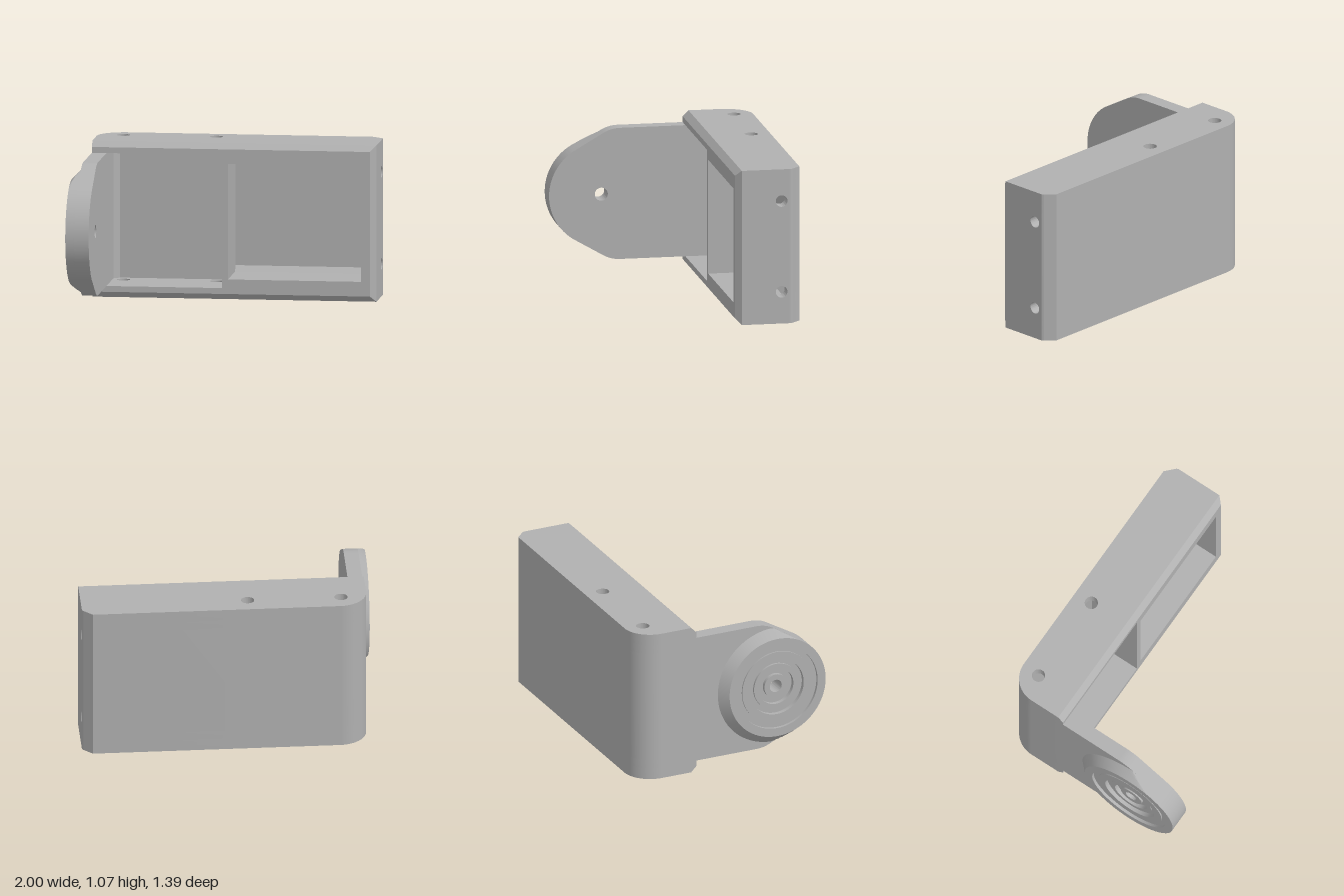
import * as THREE from 'three';
import { toCreasedNormals } from 'three/addons/utils/BufferGeometryUtils.js';

const grey = new THREE.MeshStandardMaterial({ color: 0xb0b0b0 });
grey.name = 'plain grey';

const L = -0.94, BACK = -0.69, FRONT = -0.24, FLOOR = -0.65, BEVEL = 0.04;
const AXIS_Z = 0.34, AXIS_Y = 0.535, ARM_R = 0.36, TAPER = Math.PI / 3;

export function createModel() {
  const group = new THREE.Group();

  const add = (name, geometry) => {
    const mesh = new THREE.Mesh(toCreasedNormals(geometry, 0.4), grey);
    mesh.name = name;
    group.add(mesh);
  };
  const hole = (shape, x, y, r) => {
    const path = new THREE.Path();
    path.absarc(x, y, r, 0, Math.PI * 2, true);
    shape.holes.push(path);
  };
  // extrude a plan drawn in (x, -z) upward from y0 to y1
  const extrudeUp = (shape, y0, y1, steps = 1) =>
    new THREE.ExtrudeGeometry(shape, { depth: y1 - y0, steps, bevelEnabled: false, curveSegments: 24 })
      .rotateX(-Math.PI / 2).translate(0, y0, 0);
  // extrude a side drawing in (z, y) from x toward -x
  const extrudeSide = (shape, x, depth) =>
    new THREE.ExtrudeGeometry(shape, { depth, bevelEnabled: false, curveSegments: 40 })
      .rotateY(-Math.PI / 2).translate(x, 0, 0);

  const backRightCorner = (s) => {
    s.lineTo(1, 0.61);
    s.quadraticCurveTo(1, 0.625, 0.985, 0.637);
    s.lineTo(0.93, -BACK);
  };
  // housing plan: optional left pocket, optional right pocket (its end wall is separate)
  const plan = (leftPocket, rightPocket) => {
    const s = new THREE.Shape();
    s.moveTo(L, -FRONT);
    if (leftPocket) {
      [[-0.84, -FRONT], [-0.84, -FLOOR - BEVEL], [-0.8, -FLOOR], [-0.09, -FLOOR],
        [-0.05, -FLOOR - BEVEL], [-0.05, -FRONT]].forEach((p) => s.lineTo(...p));
    }
    if (rightPocket) {
      [[-0.01, -FRONT], [-0.01, -FLOOR], [0.9, -FLOOR], [0.9, -BACK]].forEach((p) => s.lineTo(...p));
    } else {
      s.lineTo(1 - BEVEL, -FRONT);
      s.lineTo(1, -FRONT + BEVEL);
      backRightCorner(s);
    }
    s.lineTo(-0.75, -BACK);
    s.absarc(-0.75, 0.5, 0.19, Math.PI / 2, Math.PI, false);
    s.closePath();
    return s;
  };

  // top and bottom plates: two screw holes, front edge bevelled toward the outside
  for (const [name, y0, y1, outer] of [['bottomPlate', 0, 0.08, 0], ['topPlate', 0.99, 1.07, 1.07]]) {
    const s = plan(false, false);
    hole(s, -0.765, 0.56, 0.045);
    hole(s, -0.13, 0.56, 0.045);
    const g = extrudeUp(s, y0, y1, 2);
    const p = g.attributes.position;
    for (let i = 0; i < p.count; i++) {
      if (Math.abs(p.getY(i) - outer) < 0.001 && Math.abs(p.getZ(i) - FRONT) < 0.001) {
        p.setZ(i, FRONT - BEVEL);
        if (p.getX(i) > 0) p.setX(i, 1);
      }
    }
    add(name, g);
  }

  // pocketed middle of the housing
  add('lowerLedge', extrudeUp(plan(true, false), 0.08, 0.14));
  add('housingWalls', extrudeUp(plan(true, true), 0.14, 0.93));
  add('upperLedge', extrudeUp(plan(true, false), 0.93, 0.99));

  // end wall with two screw holes, and its shaped front and back edges
  const wall = new THREE.Shape();
  wall.moveTo(-0.61, 0.14);
  wall.lineTo(FRONT - BEVEL, 0.14);
  wall.lineTo(FRONT - BEVEL, 0.93);
  wall.lineTo(-0.61, 0.93);
  wall.closePath();
  hole(wall, -0.555, 0.85, 0.04);
  hole(wall, -0.555, 0.22, 0.04);
  add('endWall', extrudeSide(wall, 1, 0.1));

  const frontEdge = new THREE.Shape();
  frontEdge.moveTo(0.9, -FRONT);
  frontEdge.lineTo(1 - BEVEL, -FRONT);
  frontEdge.lineTo(1, -FRONT + BEVEL);
  frontEdge.lineTo(0.9, -FRONT + BEVEL);
  add('endWallFrontEdge', extrudeUp(frontEdge, 0.14, 0.93));

  const backEdge = new THREE.Shape();
  backEdge.moveTo(0.9, 0.61);
  backRightCorner(backEdge);
  backEdge.lineTo(0.9, -BACK);
  add('endWallBackEdge', extrudeUp(backEdge, 0.14, 0.93));

  // sloped fillets along the top and bottom of the right pocket's floor
  for (const [name, y, d] of [['lowerPocketFillet', 0.14, BEVEL], ['upperPocketFillet', 0.93, -BEVEL]]) {
    const s = new THREE.Shape();
    s.moveTo(FLOOR, y);
    s.lineTo(FLOOR + BEVEL, y);
    s.lineTo(FLOOR, y + d);
    add(name, extrudeSide(s, 0.9, 0.91));
  }

  // rounded, tapered arm with a pivot hole
  const arm = new THREE.Shape();
  arm.moveTo(FRONT, 0.08);
  arm.lineTo(0.21, 0.08);
  arm.quadraticCurveTo(0.272, 0.08, 0.325, 0.11);
  arm.absarc(AXIS_Z, AXIS_Y, ARM_R, -TAPER, TAPER, false);
  arm.lineTo(0.325, 0.96);
  arm.quadraticCurveTo(0.272, 0.99, 0.21, 0.99);
  arm.lineTo(FRONT, 0.99);
  arm.closePath();
  hole(arm, AXIS_Z, AXIS_Y, 0.045);
  add('arm', extrudeSide(arm, -0.84, 0.1));

  // conical pivot boss with stepped rings, trimmed to the arm's outline
  const profile = [];
  for (let i = 0; i <= 8; i++) profile.push([0.42 - 0.06 * i / 8, 0.06 * i / 8]);
  profile.push([0.3, 0.06], [0.3, 0.04], [0.26, 0.04], [0.26, 0.05], [0.2, 0.05], [0.2, 0.02],
    [0.165, 0.02], [0.165, 0.035], [0.13, 0.035], [0.13, 0.005], [0.085, 0.005], [0.085, 0.03],
    [0.045, 0.03], [0.045, 0]);
  const boss = new THREE.LatheGeometry(profile.map((p) => new THREE.Vector2(...p)), 96)
    .rotateZ(Math.PI / 2);
  const p = boss.attributes.position;
  for (let i = 0; i < p.count; i++) {
    const y = p.getY(i), z = p.getZ(i), r = Math.hypot(y, z);
    const past = Math.atan2(Math.abs(y), z) - TAPER;
    const limit = past < 0 ? ARM_R : past < 1 ? ARM_R / Math.cos(past) : 1;
    const k = Math.min(1, limit / r);
    p.setY(i, y * k);
    p.setZ(i, z * k);
  }
  add('pivotBoss', boss.translate(L, AXIS_Y, AXIS_Z));

  return group;
}
